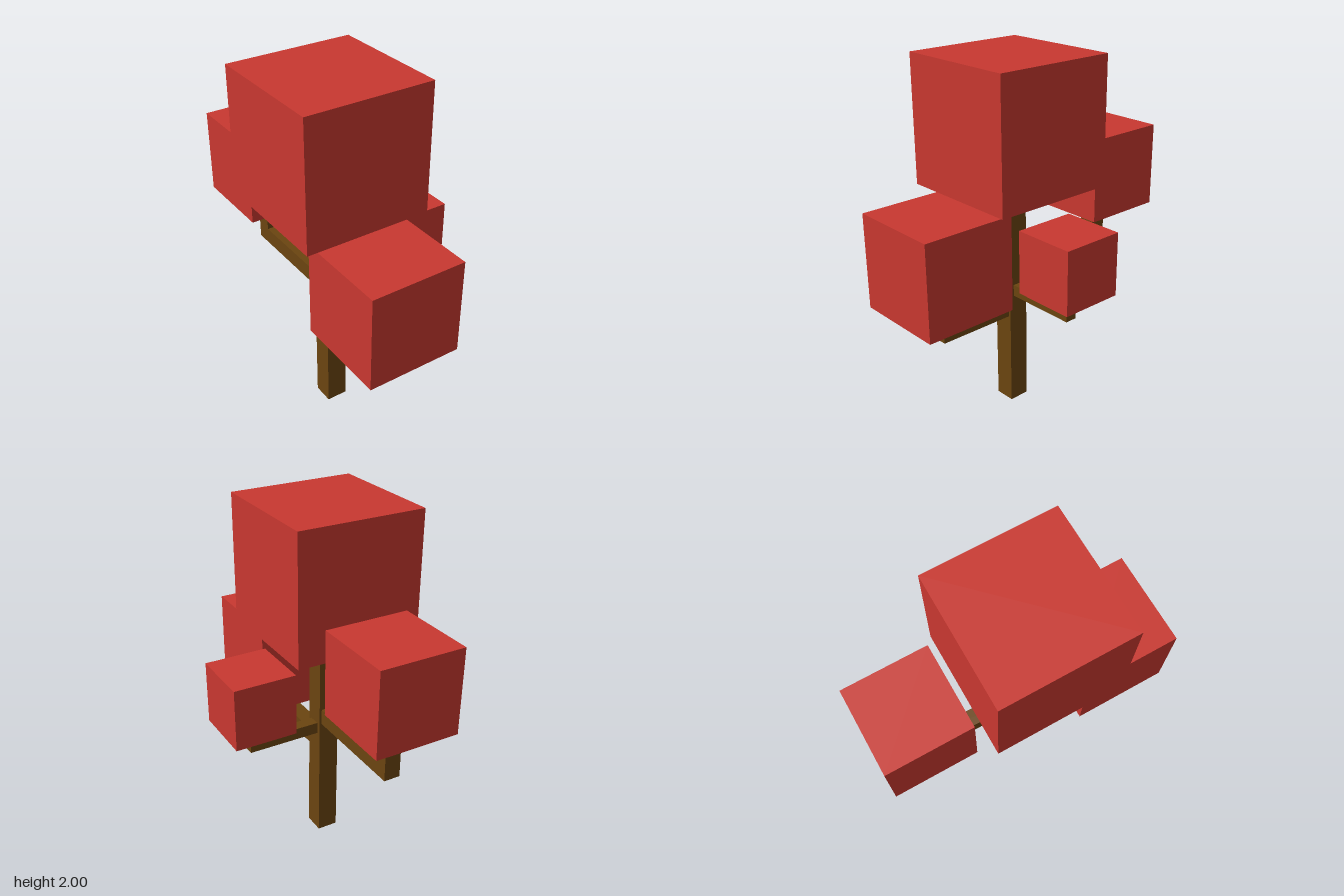
import * as THREE from 'three';

const TRUNK = { x: -0.158, z: 0.067, width: 0.118, height: 1.295 };

export function createModel() {
  const tree = new THREE.Group();
  tree.name = 'tree';
  const bark = new THREE.MeshStandardMaterial({ color: 0x6b4510, flatShading: true });
  const leaves = new THREE.MeshStandardMaterial({ color: 0xc93830, flatShading: true });

  // everything is placed around the trunk axis
  const add = (parent, name, geometry, material) => {
    const mesh = new THREE.Mesh(geometry, material);
    mesh.name = name;
    parent.add(mesh);
    return mesh;
  };
  const addFoliage = (parent, name, size, x, bottom) =>
    add(parent, name, new THREE.BoxGeometry(size, size, size), leaves)
      .position.set(x, bottom + size / 2, 0);

  // trunk and crown
  const main = new THREE.Group();
  main.name = 'mainStem';
  main.position.set(TRUNK.x, 0, TRUNK.z);
  tree.add(main);
  add(main, 'trunk', new THREE.BoxGeometry(TRUNK.width, TRUNK.height, TRUNK.width), bark)
    .position.y = TRUNK.height / 2;
  addFoliage(main, 'crownFoliage', 0.705, 0, TRUNK.height);

  // elbow-shaped branches, each carrying a foliage cube
  const limbs = [
    { name: 'front', angle: -Math.PI / 2, thick: 0.092, low: 0.543, top: 0.726, reach: 0.508, size: 0.53 },
    { name: 'back', angle: Math.PI / 2, thick: 0.092, low: 0.737, top: 1.038, reach: 0.689, size: 0.471 },
    { name: 'left', angle: 0, thick: 0.066, low: 0.668, top: 0.81, reach: 0.476, size: 0.353 },
  ];
  for (const { name, angle, thick, low, top, reach, size } of limbs) {
    const limb = new THREE.Group();
    limb.name = name + 'Limb';
    limb.rotation.y = angle;
    main.add(limb);

    const start = TRUNK.width / 2;
    const elbow = new THREE.Shape([
      [start, low], [reach, low], [reach, top],
      [reach - thick, top], [reach - thick, low + thick], [start, low + thick],
    ].map(([x, y]) => new THREE.Vector2(x, y)));
    const geometry = new THREE.ExtrudeGeometry(elbow, { depth: thick, bevelEnabled: false });
    geometry.translate(0, 0, -thick / 2);
    add(limb, name + 'Branch', geometry, bark);
    addFoliage(limb, name + 'Foliage', size, reach - thick / 2 + (name === 'front' ? 0.024 : 0.004), top);
  }
  return tree;
}
